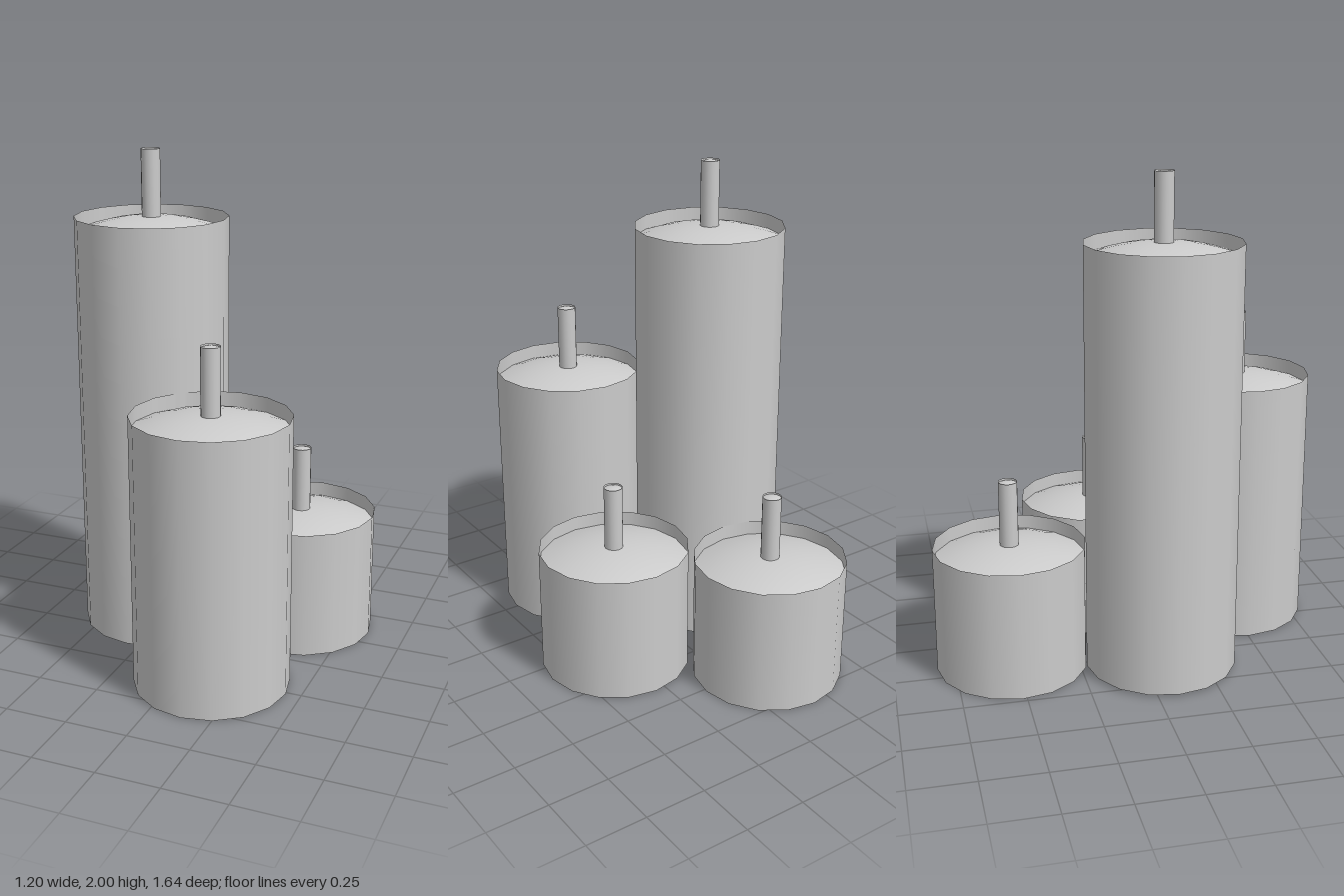
import * as THREE from 'three';

const material = new THREE.MeshStandardMaterial({ color: 0xcccccc, side: THREE.DoubleSide });
const SIDES = 16;

function lathe(name, points, sides) {
  const profile = points.map(([r, y]) => new THREE.Vector2(r, y));
  const mesh = new THREE.Mesh(new THREE.LatheGeometry(profile, sides), material);
  mesh.name = name;
  return mesh;
}

// Open tube closed by a shallow dome whose rim sits below the top edge
function domedTube(name, radius, bottom, top, drop, sides) {
  const dome = [];
  for (let i = 0; i <= 5; i++) {
    const t = 1 - i / 5;
    dome.push([radius * t, top - drop * t * t]);
  }
  const group = new THREE.Group();
  group.name = name;
  group.add(
    lathe(name + 'Wall', [[radius, bottom], [radius, top]], sides),
    lathe(name + 'Top', dome, sides)
  );
  return group;
}

export function createModel() {
  const model = new THREE.Group();
  model.name = 'candles';

  // x, z, bottom, wax top, wick top
  const candles = [
    ['tallCandle', -0.295, 0.08, 0.01, 1.737, 2.0],
    ['mediumCandle', 0.133, 0.51, 0, 1.09, 1.353],
    ['shortCandleFront', 0.292, -0.088, 0, 0.525, 0.79],
    ['shortCandleBack', -0.176, -0.515, 0, 0.525, 0.79],
  ];
  for (const [name, x, z, bottom, top, wickTop] of candles) {
    const candle = new THREE.Group();
    candle.name = name;
    candle.position.set(x, 0, z);
    candle.add(
      domedTube('wax', 0.307, bottom, top, 0.06, SIDES),
      domedTube('wick', 0.038, top - 0.01, wickTop, 0.008, SIDES)
    );
    model.add(candle);
  }
  return model;
}
